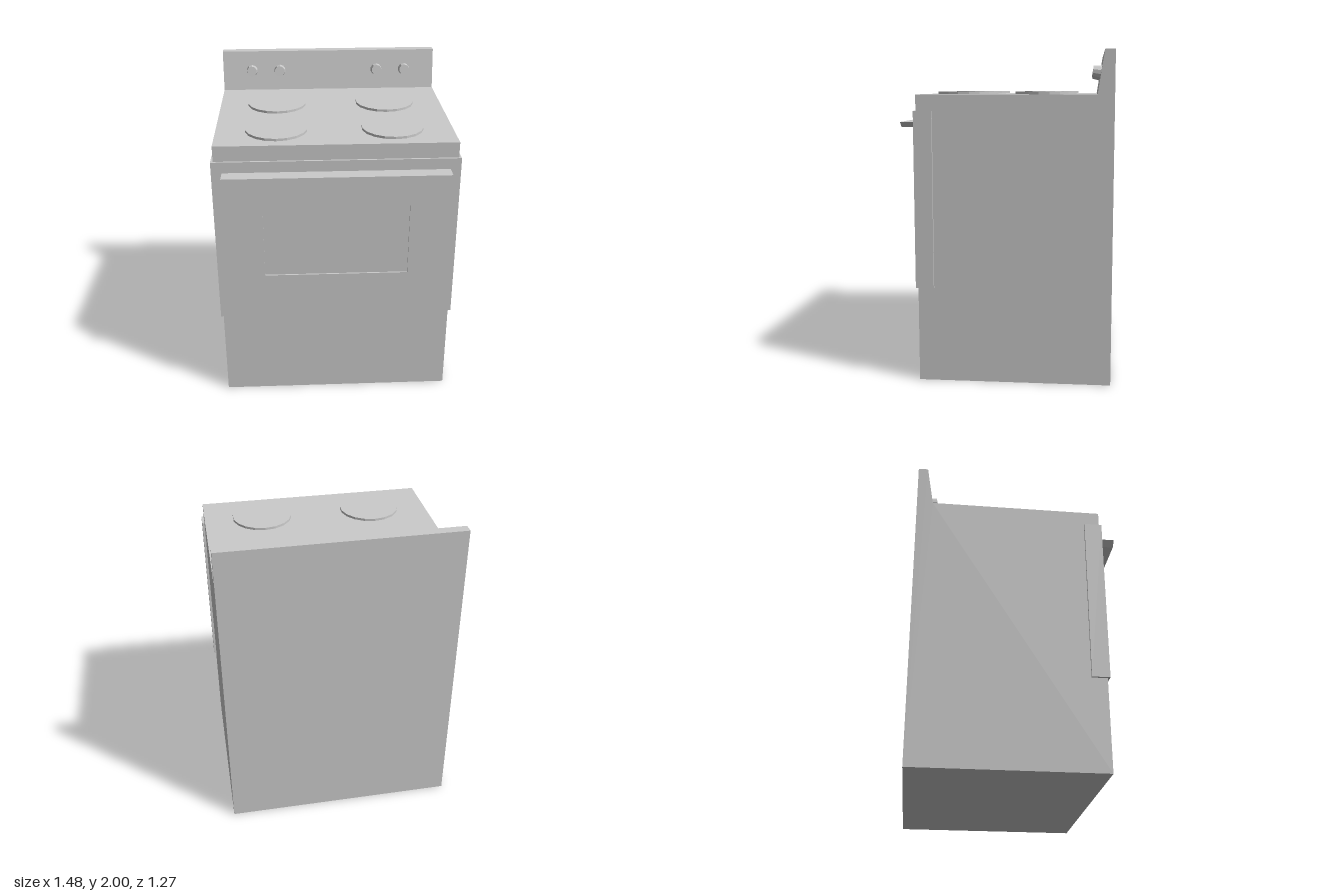
import * as THREE from 'three';

const material = new THREE.MeshStandardMaterial({ color: 0xcccccc, flatShading: true });

function add(parent, name, geometry, x = 0, y = 0, z = 0) {
  const mesh = new THREE.Mesh(geometry, material);
  mesh.name = name;
  mesh.position.set(x, y, z);
  parent.add(mesh);
  return mesh;
}

const polygon = (points) => points.map(([x, y]) => new THREE.Vector2(x, y));
const extrude = (shape, depth) => new THREE.ExtrudeGeometry(shape, { depth, bevelEnabled: false });

export function createModel() {
  const stove = new THREE.Group();
  stove.name = 'stove';

  // Cabinet and sloped control panel: one side profile swept across the width
  const profile = new THREE.Shape(polygon([
    [-0.53, 0], [0.635, 0], [0.635, 2], [0.575, 2], [0.535, 1.74], [-0.53, 1.74],
  ]));
  const bodyGeometry = extrude(profile, 1.45);
  bodyGeometry.translate(0, 0, -0.725);
  bodyGeometry.rotateY(Math.PI / 2);
  add(stove, 'cabinet', bodyGeometry);

  // Oven door with a shallow recessed window
  const door = new THREE.Group();
  door.name = 'ovenDoor';
  stove.add(door);
  const frame = new THREE.Shape(polygon([[-0.74, 0.58], [0.74, 0.58], [0.74, 1.645], [-0.74, 1.645]]));
  frame.holes.push(new THREE.Path(polygon([[-0.447, 0.875], [-0.447, 1.355], [0.447, 1.355], [0.447, 0.875]])));
  add(door, 'doorFrame', extrude(frame, 0.11), 0, 0, 0.433);
  add(door, 'doorWindow', new THREE.BoxGeometry(0.894, 0.48, 0.09), 0, 1.115, 0.488);

  // Handle ledge with ends slanting inward toward the bottom
  const ledge = new THREE.Shape(polygon([[-0.64, 1.545], [0.64, 1.545], [0.677, 1.577], [-0.677, 1.577]]));
  add(door, 'doorHandle', extrude(ledge, 0.095), 0, 0, 0.54);

  // Four burners
  const burnerGeometry = new THREE.CylinderGeometry(0.19, 0.19, 0.015, 18);
  for (const x of [-0.355, 0.355]) {
    for (const z of [-0.215, 0.272]) add(stove, 'burner', burnerGeometry, x, 1.7475, z);
  }

  // Tapered knobs standing square to the sloped panel
  const knobGeometry = new THREE.CylinderGeometry(0.034, 0.04, 0.06, 10);
  knobGeometry.translate(0, 0.02, 0);
  const tilt = Math.atan2(0.04, 0.26);
  for (const x of [-0.528, -0.337, 0.33, 0.522]) {
    add(stove, 'knob', knobGeometry, x, 1.87, -0.555).rotation.x = Math.PI / 2 - tilt;
  }

  return stove;
}
